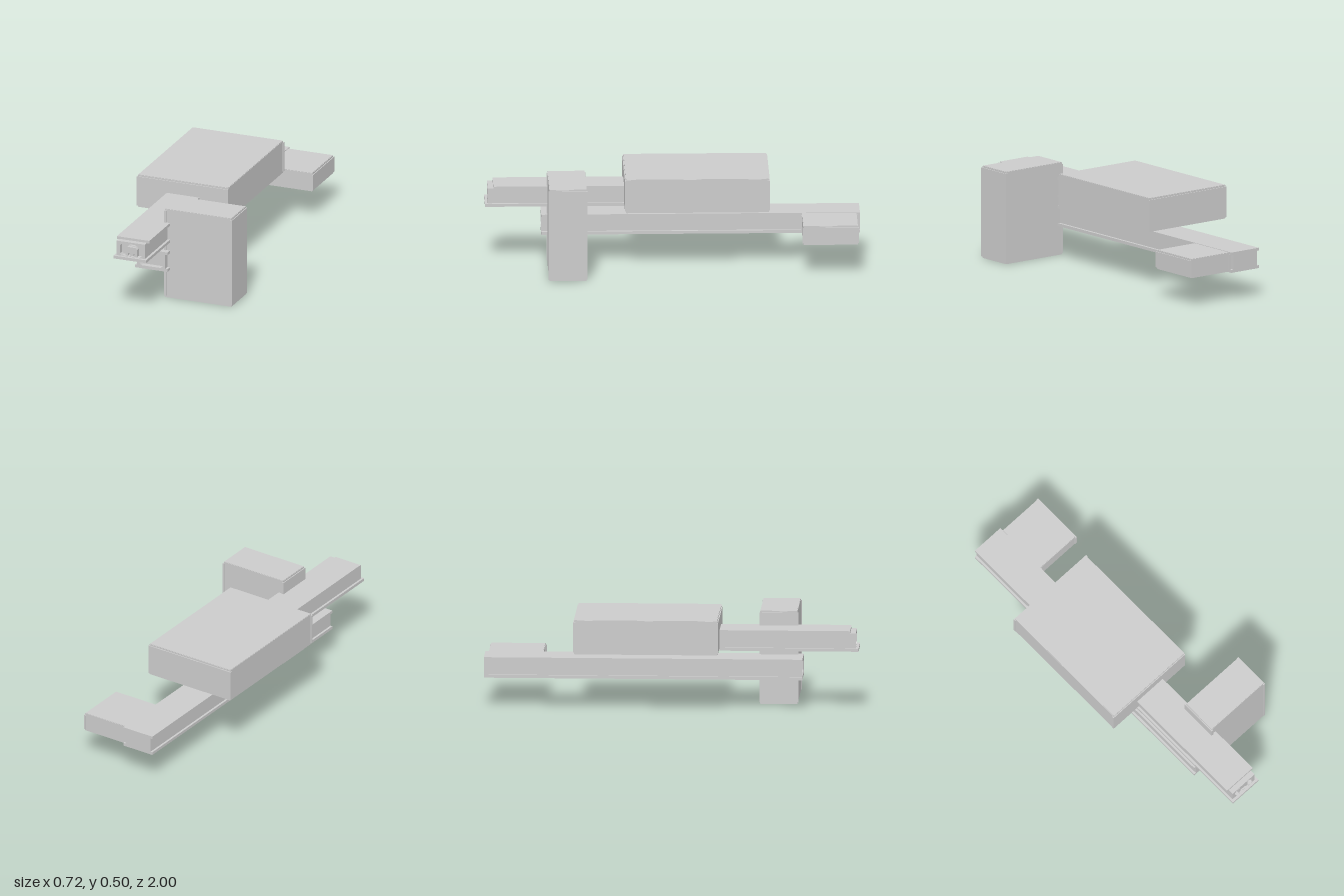
import * as THREE from 'three';

const material = new THREE.MeshStandardMaterial({ color: 0xcccccc, flatShading: true });

// Box given by its extents on each axis
function block(name, [x0, x1], [y0, y1], [z0, z1]) {
  const mesh = new THREE.Mesh(new THREE.BoxGeometry(x1 - x0, y1 - y0, z1 - z0), material);
  mesh.position.set((x0 + x1) / 2, (y0 + y1) / 2, (z0 + z1) / 2);
  mesh.name = name;
  return mesh;
}

// Outline in x and y pushed along z
function extrude(name, shape, z0, z1) {
  const geometry = new THREE.ExtrudeGeometry(shape, { depth: z1 - z0, bevelEnabled: false });
  const mesh = new THREE.Mesh(geometry, material);
  mesh.position.z = z0;
  mesh.name = name;
  return mesh;
}

const points = (list) => list.map(([x, y]) => new THREE.Vector2(x, y));

// Rectangle with cut corners; the lower cut may be zero
function chamfered(x0, x1, y0, y1, top, bottom) {
  const list = [[x0 + top, y1], [x0, y1 - top]];
  if (bottom) list.push([x0, y0 + bottom], [x0 + bottom, y0], [x1 - bottom, y0], [x1, y0 + bottom]);
  else list.push([x0, y0], [x1, y0]);
  list.push([x1, y1 - top], [x1 - top, y1]);
  return points(list);
}

// Flanged beam with a recessed mouth at the front
function beam(name, y, zBack, zFront, topFront, bottomFront, mouth) {
  const group = new THREE.Group();
  group.name = name;
  const depth = 0.03, x = [-0.176, -0.014];
  const web = [y + 0.014, y + 0.098];
  group.add(block('topFlange', [-0.188, 0], [y + 0.096, y + 0.111], [zBack, topFront]));
  group.add(block('bottomFlange', [-0.188, 0], [y, y + 0.016], [zBack, bottomFront]));
  group.add(block('web', x, web, [zBack, zFront - depth]));
  const frame = new THREE.Shape(points([[x[0], web[0]], [x[1], web[0]], [x[1], web[1]], [x[0], web[1]]]));
  frame.holes.push(new THREE.Path(mouth));
  group.add(extrude('mouthFrame', frame, zFront - depth, zFront));
  return group;
}

// Case made of a core, lids above and below, and thin side panels
function panelBox(name, [x0, x1], [y0, y1], [z0, z1], panels) {
  const group = new THREE.Group();
  group.name = name;
  const t = 0.012, e = 0.005;
  const core = { x: [x0 + e, x1 - e], z: [z0 + e, z1 - e] };
  group.add(block('core', core.x, [y0 + 0.002, y1 - 0.002], core.z));
  for (const [a, b] of [[y0, y0 + 0.007], [y1 - 0.007, y1]]) {
    group.add(block('lid', [x0 + 0.007, x1 - 0.007], [a, b], [z0 + 0.007, z1 - 0.007]));
  }
  const tall = [y0 + 0.01, y1 - 0.01];
  if (panels === 'x') {
    group.add(block('sidePanel', [x0, x0 + t], tall, [z0, z1]));
    group.add(block('sidePanel', [x1 - t, x1], tall, [z0, z1]));
  } else {
    group.add(block('endPanel', [x0, x1], tall, [z0, z0 + t]));
    group.add(block('endPanel', [x0, x1 - e], tall, [z1 - t, z1]));
  }
  return group;
}

export function createModel() {
  const model = new THREE.Group();
  model.name = 'boxesOnBeams';

  // Long lower beam and shorter upper beam
  model.add(beam('lowerBeam', 0.159, -1, 0.7, 0.7, 0.7,
    chamfered(-0.163, -0.028, 0.176, 0.254, 0.016, 0.012)));
  model.add(beam('upperBeam', 0.316, 0.21, 0.985, 0.955, 1,
    chamfered(-0.157, -0.033, 0.334, 0.404, 0.014, 0.01)));

  // Plug inside the upper beam's mouth: an arch over a small pin block
  const plug = new THREE.Group();
  plug.name = 'plug';
  const arch = new THREE.Shape(chamfered(-0.128, -0.061, 0.332, 0.385, 0.01, 0));
  arch.holes.push(new THREE.Path(points([[-0.113, 0.335], [-0.076, 0.335], [-0.076, 0.35], [-0.113, 0.35]])));
  plug.add(extrude('arch', arch, 0.95, 0.98));
  plug.add(block('pin', [-0.105, -0.083], [0.332, 0.348], [0.95, 0.975]));
  plug.add(block('slotBar', [-0.112, -0.078], [0.389, 0.391], [0.95, 0.97]));
  model.add(plug);

  // Three panelled cases
  model.add(panelBox('mainBox', [-0.362, 0.17], [0.32, 0.505], [-0.515, 0.258], 'z'));
  model.add(panelBox('uprightBox', [-0.033, 0.36], [0, 0.505], [0.463, 0.672], 'x'));
  model.add(panelBox('rearBox', [-0.006, 0.264], [0.163, 0.268], [-0.987, -0.685], 'x'));
  return model;
}
